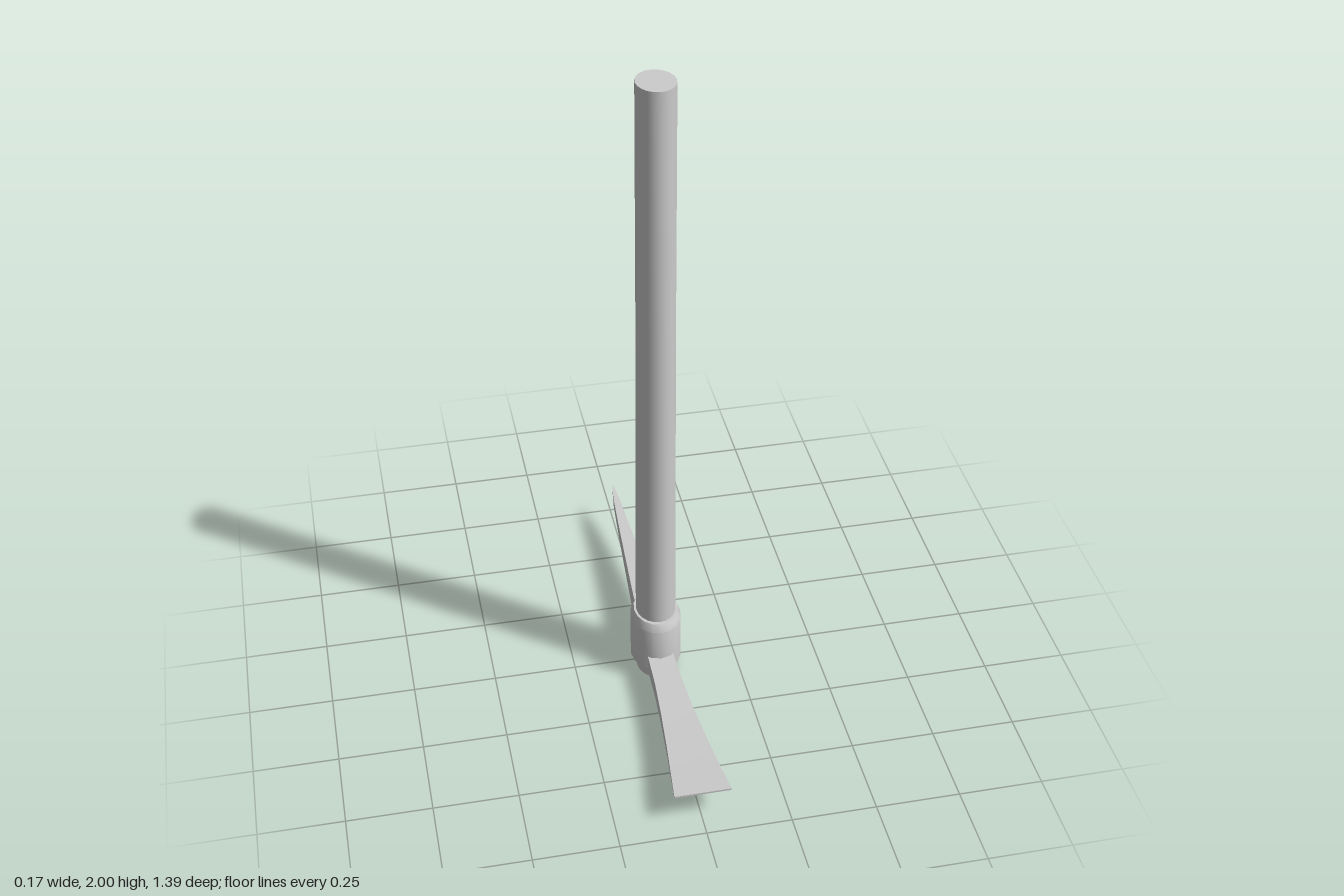
import * as THREE from 'three';
import { toCreasedNormals } from 'three/addons/utils/BufferGeometryUtils.js';

const CENTRE_Z = 0.024; // handle axis
const material = new THREE.MeshStandardMaterial({ color: 0xcccccc });

function addMesh(group, name, geometry, crease) {
  const mesh = new THREE.Mesh(toCreasedNormals(geometry, crease), material);
  mesh.name = name;
  group.add(mesh);
}

// Oval turned part: profile of [radius in x, y], stretched along z
function ovalLathe(profile, stretch, sides) {
  const points = profile.map(([r, y]) => new THREE.Vector2(r, y));
  const geometry = new THREE.LatheGeometry(points, sides);
  geometry.scale(1, 1, stretch);
  geometry.translate(0, 0, CENTRE_Z);
  return geometry;
}

// Rectangular bar lofted through sections [z, half width, bottom y, top y], z rising
function loftBar(sections) {
  const positions = [];
  const index = [];
  for (const [z, w, low, high] of sections) {
    positions.push(-w, low, z, w, low, z, w, high, z, -w, high, z);
  }
  const quad = (a, b, c, d) => index.push(a, b, c, a, c, d);
  for (let s = 0; s < sections.length - 1; s++) {
    for (let k = 0; k < 4; k++) {
      const a = s * 4 + k;
      const b = s * 4 + (k + 1) % 4;
      quad(a, b, b + 4, a + 4);
    }
  }
  const e = (sections.length - 1) * 4;
  quad(3, 2, 1, 0);
  quad(e, e + 1, e + 2, e + 3);
  const geometry = new THREE.BufferGeometry();
  geometry.setAttribute('position', new THREE.Float32BufferAttribute(positions, 3));
  geometry.setIndex(index);
  return geometry;
}

export function createModel() {
  const group = new THREE.Group();
  group.name = 'pickaxe';

  // Slightly tapering oval handle
  addMesh(group, 'handle', ovalLathe([
    [0, 0], [0.059, 0], [0.06, 0.3], [0.056, 1.2], [0.055, 2], [0, 2],
  ], 1.19, 20), 0.6);

  // Socket around the handle, bevelled at both ends
  addMesh(group, 'socket', ovalLathe([
    [0.05, 0.028], [0.06, 0.028], [0.068, 0.036], [0.077, 0.048],
    [0.077, 0.2], [0.067, 0.225], [0.05, 0.225],
  ], 1.23, 16), 0.5);

  // Flat adze blade widening to the front edge
  addMesh(group, 'adzeBlade', loftBar([
    [0.03, 0.04, 0.04, 0.1],
    [0.12, 0.04, 0.042, 0.098],
    [0.22, 0.042, 0.044, 0.096],
    [0.35, 0.05, 0.053, 0.094],
    [0.48, 0.061, 0.067, 0.096],
    [0.6, 0.073, 0.084, 0.1],
    [0.695, 0.083, 0.1, 0.106],
  ]), 0.5);

  // Curved pick narrowing to a point at the back
  addMesh(group, 'pickSpike', loftBar([
    [-0.695, 0.001, 0.148, 0.15],
    [-0.66, 0.006, 0.131, 0.147],
    [-0.62, 0.01, 0.113, 0.144],
    [-0.5, 0.017, 0.091, 0.137],
    [-0.35, 0.025, 0.07, 0.132],
    [-0.2, 0.033, 0.054, 0.13],
    [-0.09, 0.039, 0.044, 0.132],
    [-0.068, 0.04, 0.043, 0.145],
    [0.02, 0.04, 0.04, 0.145],
  ]), 0.5);

  return group;
}
